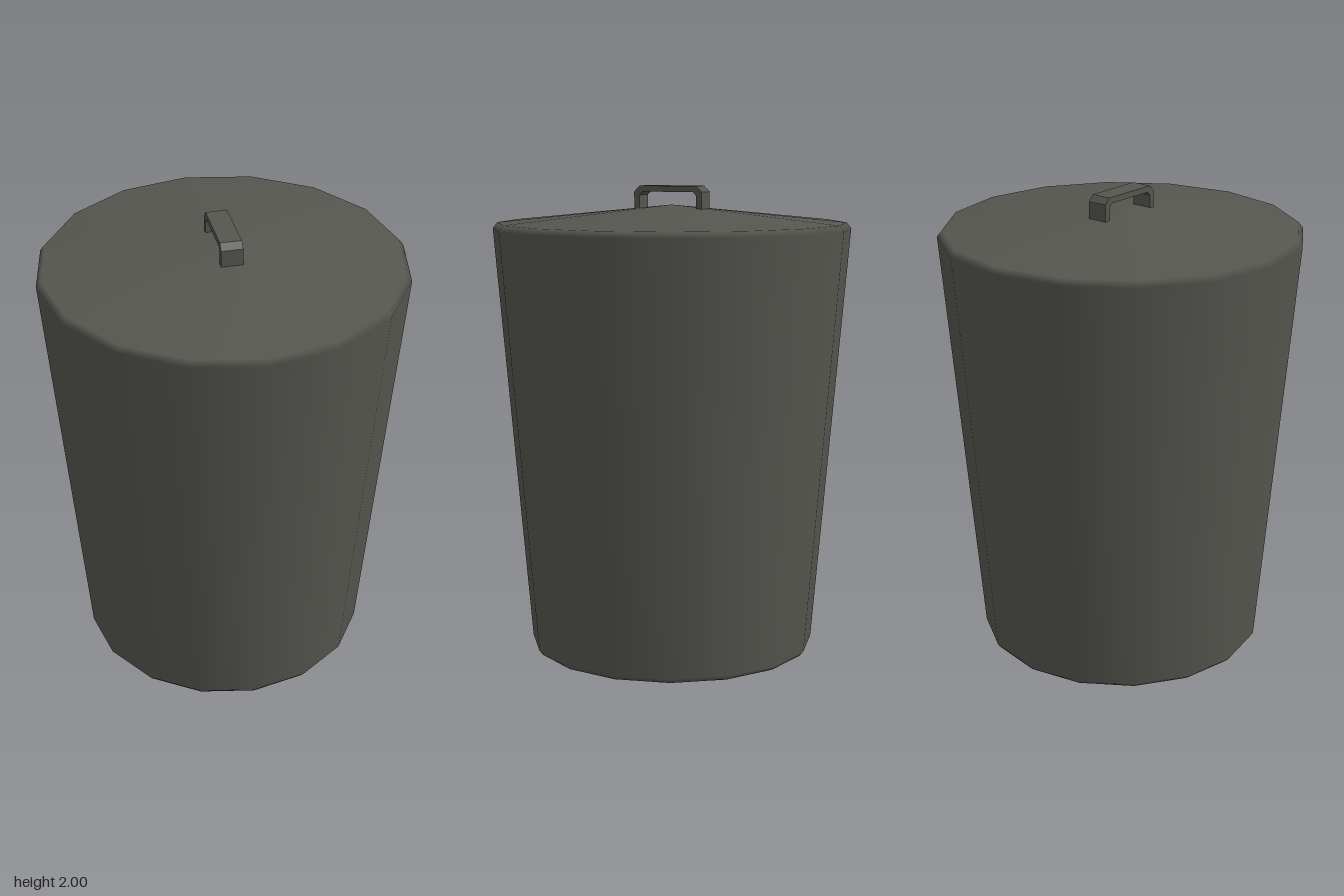
import * as THREE from 'three';

const grey = new THREE.MeshStandardMaterial({ name: 'dark grey', color: 0x55564f });

// Closed outline from [x, y] points
function outline(points) {
  return new THREE.Shape(points.map(([x, y]) => new THREE.Vector2(x, y)));
}

export function createModel() {
  const model = new THREE.Group();
  model.name = 'bin';

  // Tapered 16-sided bin with bevelled rims and a shallow conical lid, smooth throughout
  const profile = [[0, 0], [0.6, 0], [0.615, 0.02], [0.765, 1.82], [0.745, 1.845], [0, 1.92]];
  const body = new THREE.Mesh(
    new THREE.LatheGeometry(profile.map(([r, y]) => new THREE.Vector2(r, y)), 16), grey);
  body.name = 'binWithLid';
  model.add(body);

  // Bracket handle with chamfered corners, running front to back
  const half = [[0.155, 1.89], [0.155, 1.975], [0.13, 2.0]];
  const inner = [[0.115, 1.975], [0.13, 1.96], [0.13, 1.89]];
  const mirror = (pts) => pts.map(([x, y]) => [-x, y]).reverse();
  const handleShape = outline([...half, ...mirror(half), ...mirror(inner), ...inner]);
  const handleGeo = new THREE.ExtrudeGeometry(handleShape, { depth: 0.09, bevelEnabled: false });
  handleGeo.translate(0, 0, -0.045);
  handleGeo.rotateY(Math.PI / 2);
  const handle = new THREE.Mesh(handleGeo, grey);
  handle.name = 'lidHandle';
  model.add(handle);

  return model;
}
